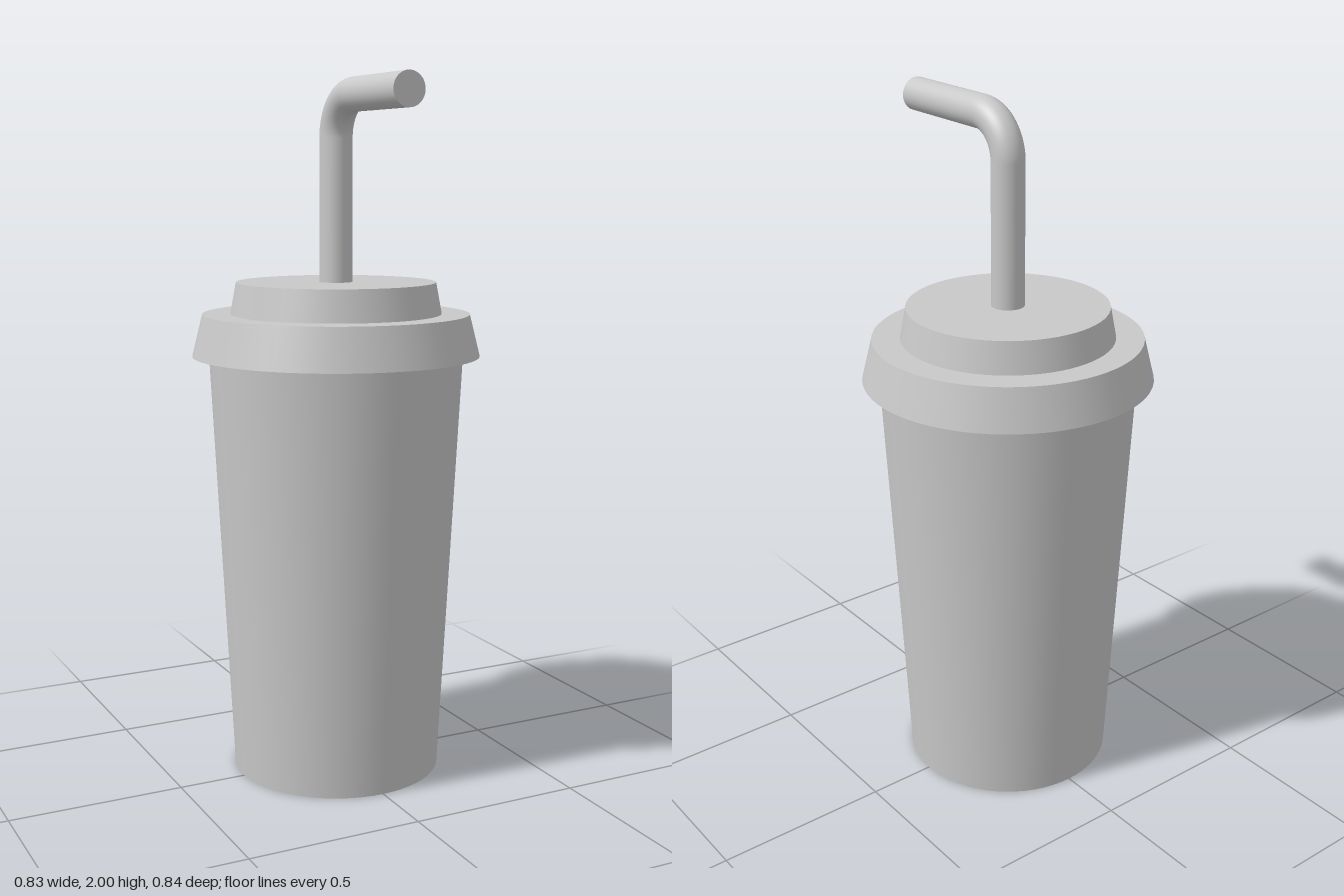
import * as THREE from 'three';

export function createModel() {
  const group = new THREE.Group();
  const grey = new THREE.MeshStandardMaterial({ color: 0xc8c8c8 });
  grey.name = 'plain grey';

  const axisZ = -0.005;      // cup axis
  const strawRadius = 0.047;
  const bendRadius = 0.115;
  const bendY = 1.953 - bendRadius;
  const bendZ = axisZ + bendRadius;
  const strawEnd = 0.418;

  function add(name, geometry, x, y, z) {
    const mesh = new THREE.Mesh(geometry, grey);
    mesh.name = name;
    mesh.position.set(x, y, z);
    group.add(mesh);
    return mesh;
  }

  // Closed tapered section standing between two heights
  function section(name, bottomRadius, topRadius, y0, y1, sides = 64) {
    const geometry = new THREE.CylinderGeometry(topRadius, bottomRadius, y1 - y0, sides);
    return add(name, geometry, 0, (y0 + y1) / 2, axisZ);
  }

  // Cup and stepped lid
  section('cupBody', 0.303, 0.365, 0, 1.225);
  section('lidRim', 0.413, 0.383, 1.225, 1.345);
  section('lidTop', 0.303, 0.286, 1.345, 1.435);

  // Straw: upright, quarter bend, forward mouthpiece
  section('strawUpright', strawRadius, strawRadius, 1.42, bendY, 32);

  const bend = new THREE.TorusGeometry(bendRadius, strawRadius, 32, 20, Math.PI / 2);
  bend.rotateY(Math.PI / 2);
  add('strawBend', bend, 0, bendY, bendZ);

  const mouth = new THREE.CylinderGeometry(strawRadius, strawRadius, strawEnd - bendZ, 32);
  mouth.rotateX(Math.PI / 2);
  add('strawMouthpiece', mouth, 0, bendY + bendRadius, (bendZ + strawEnd) / 2);

  return group;
}
